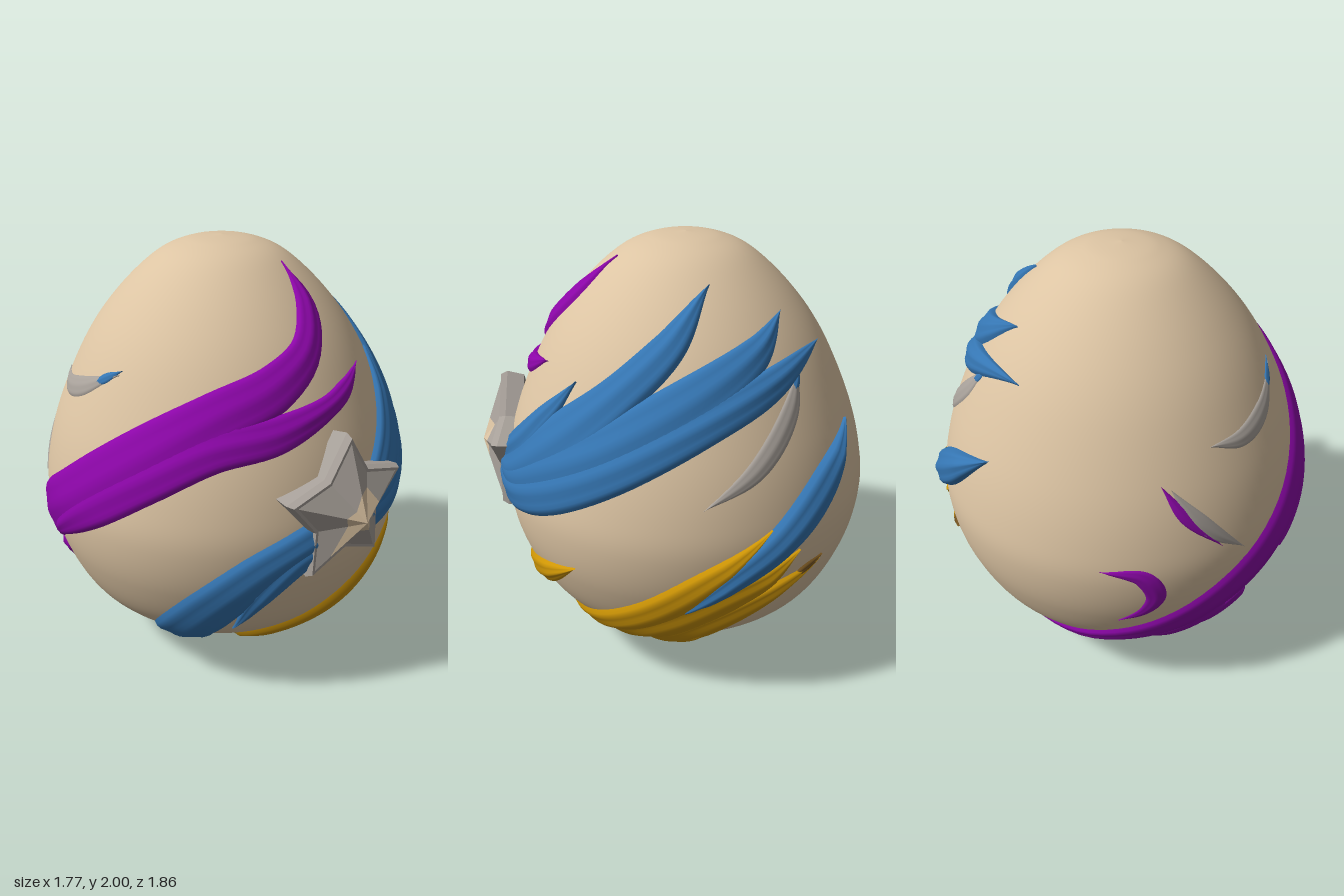
import * as THREE from 'three';

const CENTRE = new THREE.Vector3(0, 0.9, -0.07);
const mat = (name, color, side = THREE.FrontSide) => {
  const m = new THREE.MeshStandardMaterial({ color, side });
  m.name = name;
  return m;
};

// Egg profile [radius, height], smoothed and sampled
const profile = new THREE.SplineCurve([
  [0, 0.012], [0.2, 0.04], [0.36, 0.09], [0.53, 0.19], [0.71, 0.36], [0.82, 0.59], [0.862, 0.81],
  [0.845, 1.0], [0.775, 1.24], [0.64, 1.53], [0.49, 1.74], [0.31, 1.91], [0.16, 1.98], [0, 2],
].map(([r, y]) => new THREE.Vector2(r, y))).getPoints(160);
profile[0].x = profile[160].x = 0;

// Linear lookup in the sampled profile
function lookup(key, value, k) {
  let i = 1;
  while (i < profile.length - 1 && key(profile[i]) < k) i++;
  const a = key(profile[i - 1]), b = key(profile[i]);
  const t = THREE.MathUtils.clamp((k - a) / (b - a || 1), 0, 1);
  return THREE.MathUtils.lerp(value(profile[i - 1]), value(profile[i]), t);
}

// Point on the shell at an azimuth (0 = front, 90 = +x) and height
function onShell(deg, y) {
  const r = lookup(p => p.y, p => p.x, y), a = THREE.MathUtils.degToRad(deg);
  return new THREE.Vector3(r * Math.sin(a), y, r * Math.cos(a) + CENTRE.z);
}

// Push a point radially onto the shell, raised by h
function project(q, h) {
  const d = q.clone().sub(CENTRE).normalize();
  const R = lookup(
    p => -Math.atan2(p.x, p.y - CENTRE.y),
    p => Math.hypot(p.x, p.y - CENTRE.y),
    -Math.acos(d.y));
  const out = d.multiplyScalar(R + h).add(CENTRE);
  out.y = Math.max(out.y, 0);
  return out;
}

// Tapered raised strand following [azimuth, height, half width] points
function strand(points, height) {
  const NU = 64, NV = 12;
  const path = new THREE.CatmullRomCurve3(points.map(([a, y]) => onShell(a, y)));
  const widths = new THREE.CatmullRomCurve3(
    points.map(p => new THREE.Vector3(p[2], 0, 0)), false, 'catmullrom');
  const pos = [], idx = [];
  for (let i = 0; i <= NU; i++) {
    const t = i / NU;
    const p = path.getPoint(t), T = path.getTangent(t);
    const N = p.clone().sub(CENTRE).normalize();
    const S = N.clone().cross(T).normalize();
    const w = Math.max(widths.getPoint(t).x, 0.001) * Math.sqrt(Math.min(1, t / 0.05 + 0.01));
    const rise = height * Math.min(1, 0.25 + w / 0.08);
    for (let j = 0; j <= NV; j++) {
      const v = (j / NV) * 2 - 1;
      const h = rise * (1 - v ** 4) * (1 + 0.15 * Math.cos(v * 7)) - 0.006 * v ** 4;
      pos.push(...project(p.clone().addScaledVector(S, w * v), h).toArray());
      if (i < NU && j < NV) {
        const a = i * (NV + 1) + j, b = a + NV + 1;
        idx.push(a, b, a + 1, b, b + 1, a + 1);
      }
    }
  }
  const g = new THREE.BufferGeometry();
  g.setAttribute('position', new THREE.Float32BufferAttribute(pos, 3));
  g.setIndex(idx);
  g.computeVertexNormals();
  return g;
}

// Faceted star: side wall, bevelled rim, grey points and a ragged tan centre
function star(greyMat, tanMat) {
  const group = new THREE.Group();
  group.name = 'star';
  const ring = (scale, z) => Array.from({ length: 10 }, (_, i) => {
    const a = i * Math.PI / 5, r = (i % 2 ? 0.2 : 0.345) * scale;
    return new THREE.Vector3(r * Math.sin(a), r * Math.cos(a), z);
  });
  const outer = ring(1, 0.78), rim = ring(0.95, 0.812), inset = ring(0.88, 0.812);
  const apex = new THREE.Vector3(0, -0.02, 0.93);
  const patch = inset.map((p, i) => apex.clone().lerp(p, [0.35, 0.7, 0.4, 0.3, 0.3][i % 5]));
  const grey = [], tan = [];
  // corners ordered to face outward
  const band = (list, a, b) => a.forEach((p, i) => {
    const k = (i + 1) % 10;
    list.push(p, b[i], a[k], a[k], b[i], b[k]);
  });
  band(grey, ring(0.95, 0.7), outer);
  band(grey, outer, rim);
  band(grey, rim, inset);
  band(grey, inset, patch);
  patch.forEach((p, i) => tan.push(p, apex, patch[(i + 1) % 10]));
  for (const [name, list, m] of [['starPoints', grey, greyMat], ['starCentre', tan, tanMat]]) {
    const g = new THREE.BufferGeometry().setFromPoints(list);
    g.computeVertexNormals();
    const mesh = new THREE.Mesh(g, m);
    mesh.name = name;
    group.add(mesh);
  }
  group.position.y = 0.97;
  return group;
}

export function createModel() {
  const model = new THREE.Group();
  model.name = 'decoratedEgg';
  const D = THREE.DoubleSide;
  const shell = mat('shellTan', 0xdcc4a3, D), grey = mat('stoneGrey', 0xa8a19a, D);
  const blue = mat('blue', 0x3576b3, D), purple = mat('purple', 0x8c06a8, D);
  const gold = mat('gold', 0xcf9605, D), umber = mat('umber', 0x70501f, D);

  const egg = new THREE.Mesh(new THREE.LatheGeometry(profile, 96), shell);
  egg.position.z = CENTRE.z;
  egg.name = 'eggShell';
  model.add(egg);

  const add = (name, material, height, strands) => {
    const group = new THREE.Group();
    group.name = name;
    strands.forEach((s, i) => {
      const mesh = new THREE.Mesh(strand(s, height), material);
      mesh.name = `${name}Strand${i + 1}`;
      group.add(mesh);
    });
    model.add(group);
  };

  add('blueUpperSwoosh', blue, 0.033, [
    [[0, 0.92, 0.1], [22, 0.97, 0.12], [45, 1.2, 0.14], [66, 1.45, 0.1], [85, 1.66, 0.075], [107, 1.86, 0]],
    [[0, 0.93, 0.1], [25, 0.96, 0.13], [45, 1.1, 0.14], [68, 1.27, 0.13], [97, 1.48, 0.115], [122, 1.62, 0.07], [145, 1.73, 0]],
    [[0, 0.88, 0.1], [25, 0.9, 0.11], [45, 1.01, 0.12], [68, 1.18, 0.11], [97, 1.38, 0.09], [125, 1.5, 0.07], [162, 1.57, 0]],
    [[15, 1.0, 0.07], [30, 1.17, 0.08], [41, 1.34, 0.05], [49, 1.48, 0]],
  ]);
  add('blueLowerSwoosh', blue, 0.033, [
    [[0, 0.9, 0.1], [-16, 0.82, 0.1], [-28, 0.71, 0.12], [-42, 0.5, 0.14], [-55, 0.28, 0.14], [-62, 0.1, 0.14], [-90, 0.025, 0.1], [125, 0.07, 0]],
    [[-6, 0.83, 0.08], [-16, 0.76, 0.08], [-26, 0.59, 0.06], [-34, 0.36, 0]],
  ]);
  add('blueSideStreak', blue, 0.045, [
    [[90, 0.53, 0.02], [105, 0.72, 0.065], [120, 0.87, 0.085], [139, 1.07, 0.085], [158, 1.24, 0]],
  ]);
  add('purpleSwoosh', purple, 0.027, [
    [[20, 1.91, 0], [12, 1.75, 0.06], [-1, 1.6, 0.08], [-19, 1.485, 0.105], [-39, 1.39, 0.12], [-57, 1.26, 0.14], [-76, 1.08, 0.15],
      [-91, 0.92, 0.15], [-106, 0.77, 0.15], [-122, 0.62, 0.14], [-140, 0.46, 0.12], [-165, 0.35, 0.07], [162, 0.29, 0]],
    [[27, 1.49, 0], [12, 1.42, 0.045], [0, 1.375, 0.055], [-20, 1.315, 0.085], [-41, 1.27, 0.1], [-60, 1.14, 0.11], [-80, 0.95, 0.11], [-100, 0.72, 0.05]],
    [[-120, 0.52, 0.06], [-138, 0.32, 0.06], [-155, 0.2, 0]],
    [[-112, 0.55, 0.06], [-128, 0.28, 0.05], [-140, 0.14, 0]],
  ]);
  add('purpleCrescent', purple, 0.012, [
    [[-162, 0.91, 0], [-150, 0.87, 0.045], [-146, 0.75, 0.05], [-149, 0.65, 0.035], [-157, 0.57, 0]],
  ]);
  add('goldSwoosh', gold, 0.033, [
    [[-22, 0.1, 0.1], [-11, 0.19, 0.11], [8, 0.33, 0.105], [28, 0.455, 0.09], [43, 0.56, 0.065], [58, 0.69, 0]],
    [[-22, 0.07, 0.1], [-6, 0.17, 0.12], [12, 0.23, 0.1], [28, 0.3, 0]],
    [[0, 0.13, 0.1], [20, 0.18, 0.1], [44, 0.24, 0.1], [64, 0.34, 0.1], [80, 0.48, 0.1], [98, 0.7, 0.085], [117, 0.94, 0]],
    [[-10, 0.1, 0.1], [40, 0.15, 0.13], [65, 0.25, 0.13], [84, 0.4, 0.12], [104, 0.6, 0.1], [117, 0.7, 0.06], [127, 0.8, 0]],
    [[-15, 0.05, 0.1], [40, 0.06, 0.13], [70, 0.12, 0.13], [86, 0.25, 0.12], [100, 0.42, 0.1], [118, 0.58, 0.065], [137, 0.69, 0]],
    [[-150, 0.03, 0.06], [40, 0.03, 0.1], [72, 0.07, 0.12], [86, 0.19, 0.1], [98, 0.36, 0.05]],
  ]);
  add('umberTip', umber, 0.028, [
    [[124, 0.63, 0], [131, 0.665, 0.025], [138, 0.7, 0]],
  ]);
  // Shallow slivers on the sides and back
  add('greySliver', grey, 0.012, [
    [[97, 1.06, 0], [114, 1.2, 0.05], [130, 1.39, 0.05], [139, 1.53, 0]],
    [[-126, 1.38, 0], [-112, 1.36, 0.045], [-98, 1.4, 0.05], [-79, 1.5, 0]],
    [[-141, 1.26, 0], [-132, 1.08, 0.045], [-118, 0.89, 0]],
  ]);
  add('purpleSliver', purple, 0.015, [
    [[-144, 1.28, 0], [-137, 1.13, 0.03], [-126, 0.95, 0]],
  ]);
  add('blueSliverTip', blue, 0.016, [
    [[-93, 1.42, 0], [-86, 1.47, 0.025], [-78, 1.52, 0]],
    [[131, 1.42, 0], [136, 1.48, 0.022], [140, 1.54, 0]],
  ]);

  model.add(star(grey, shell));
  return model;
}
